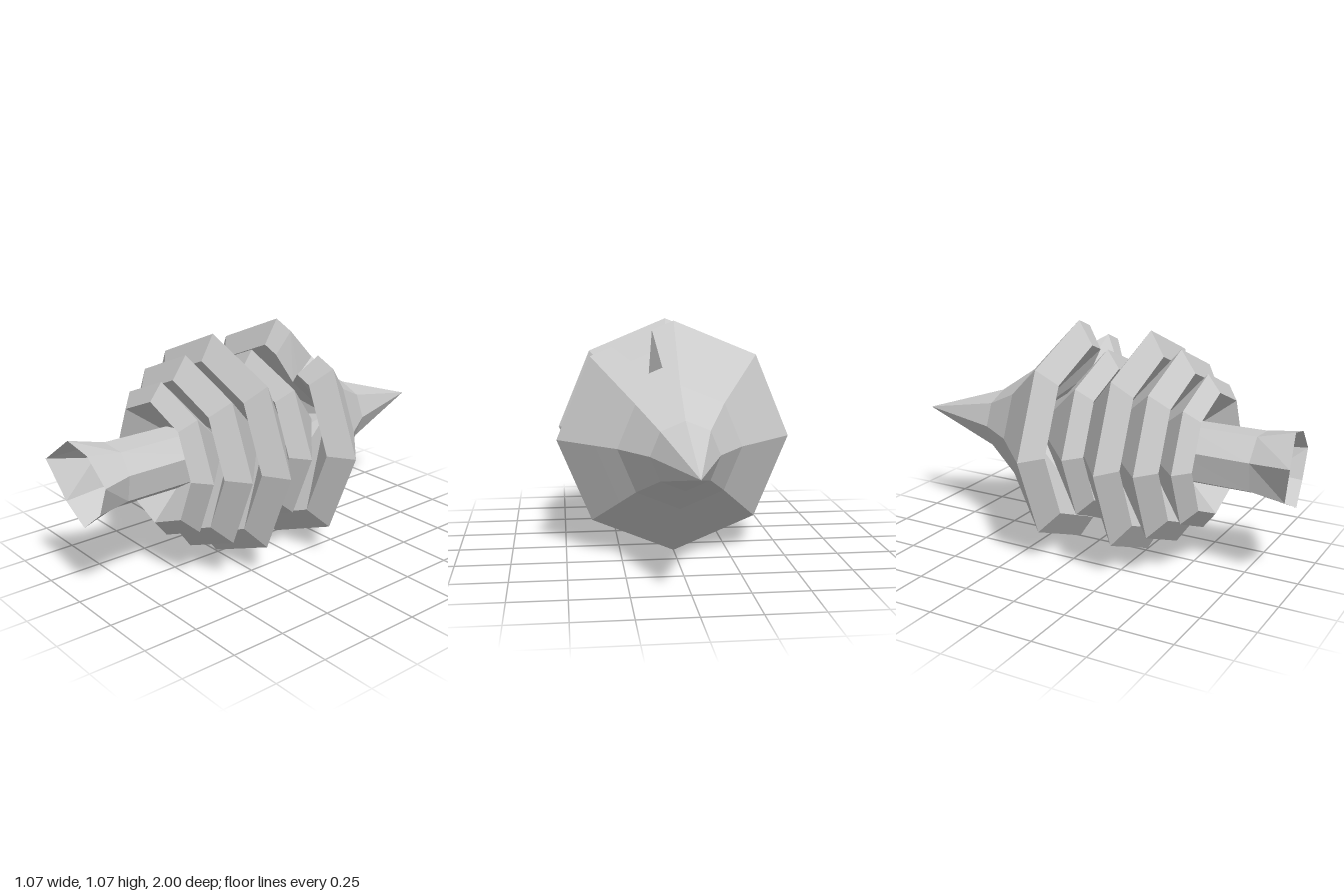
import * as THREE from 'three';

const AXIS_Y = 0.54;
const material = new THREE.MeshStandardMaterial({ color: 0xcccccc, flatShading: true, side: THREE.DoubleSide });

// Turns [radius, z] points round the lying axis of the tree
function turned(points, segments, rule) {
  const profile = points.map(([r, z]) => new THREE.Vector2(r, -z));
  const geometry = new THREE.LatheGeometry(profile, segments);
  if (rule) {
    const pos = geometry.attributes.position;
    for (let i = 0; i < pos.count; i++) {
      const column = Math.floor(i / points.length) % segments;
      const [s, dy] = rule(column, i % points.length);
      pos.setXYZ(i, pos.getX(i) * s, pos.getY(i) + dy, pos.getZ(i) * s);
    }
  }
  geometry.rotateX(-Math.PI / 2);
  geometry.translate(0, AXIS_Y, 0);
  return geometry.toNonIndexed();
}

function addMesh(group, name, geometry) {
  geometry.computeVertexNormals();
  const mesh = new THREE.Mesh(geometry, material);
  mesh.name = name;
  group.add(mesh);
}

// Hollow trunk: seven-sided tube with an uneven flared end
function trunkGeometry() {
  const inner = [[-0.06, 0.67], [-0.145, 0.575], [-0.12, 0.44], [0, 0.39], [0.11, 0.455], [0.13, 0.575], [0.07, 0.662]];
  const flare = [[-0.065, 0.715, 0.97], [-0.21, 0.6, 1], [-0.13, 0.42, 0.96], [0.02, 0.35, 0.965],
    [0.13, 0.44, 0.95], [0.185, 0.575, 0.95], [0.07, 0.685, 0.96]];
  const rings = [
    inner.map(([x, y]) => [x * 0.95, y, 0.44]),
    inner.map(([x, y]) => [x, y, 0.8]),
    flare,
  ];
  const n = inner.length;
  const index = [];
  for (let k = 0; k < 2; k++) {
    for (let i = 0; i < n; i++) {
      const a = k * n + i, b = k * n + (i + 1) % n;
      index.push(a, b, b + n, a, b + n, a + n);
    }
  }
  const geometry = new THREE.BufferGeometry();
  geometry.setAttribute('position', new THREE.Float32BufferAttribute(rings.flat(2), 3));
  geometry.setIndex(index);
  return geometry.toNonIndexed();
}

export function createModel() {
  const group = new THREE.Group();
  group.name = 'lyingTree';

  addMesh(group, 'trunk', trunkGeometry());

  // Lower branch tiers: hollow eight-sided cones with a bevelled lip
  const tiers = [
    { rim: [0.36, 0.54], lip: [0.282, 0.6], inner: 0.34, tip: 0.21 },
    { rim: [0.455, 0.41], lip: [0.355, 0.48], inner: 0.157, tip: 0 },
    { rim: [0.525, 0.26], lip: [0.412, 0.325], inner: -0.05, tip: -0.15 },
    { rim: [0.415, 0.04], lip: [0.33, 0.1], inner: -0.2, tip: -0.34 },
  ];
  tiers.forEach((t, i) => {
    addMesh(group, `branchTier${i + 1}`, turned([[0, t.inner], t.lip, t.rim, [0, t.tip]], 8));
  });

  // Crown: eight flat sides, each split in four, with one notch in the rim
  const crown = [[0, -0.44], [0.425, -0.04], [0.537, -0.11], [0.37, -0.27], [0.275, -0.36], [0.15, -0.545], [0, -1]];
  const notch = { 1: [0.7, 0.08], 2: [0.62, 0.03] };
  addMesh(group, 'crown', turned(crown, 32, (column, row) => {
    const angle = ((column % 4) - 2) * Math.PI / 16;
    const flat = Math.cos(Math.PI / 8) / Math.cos(angle);
    const dent = column === 2 && notch[row];
    return dent ? [flat * dent[0], dent[1]] : [flat, 0];
  }));

  return group;
}
